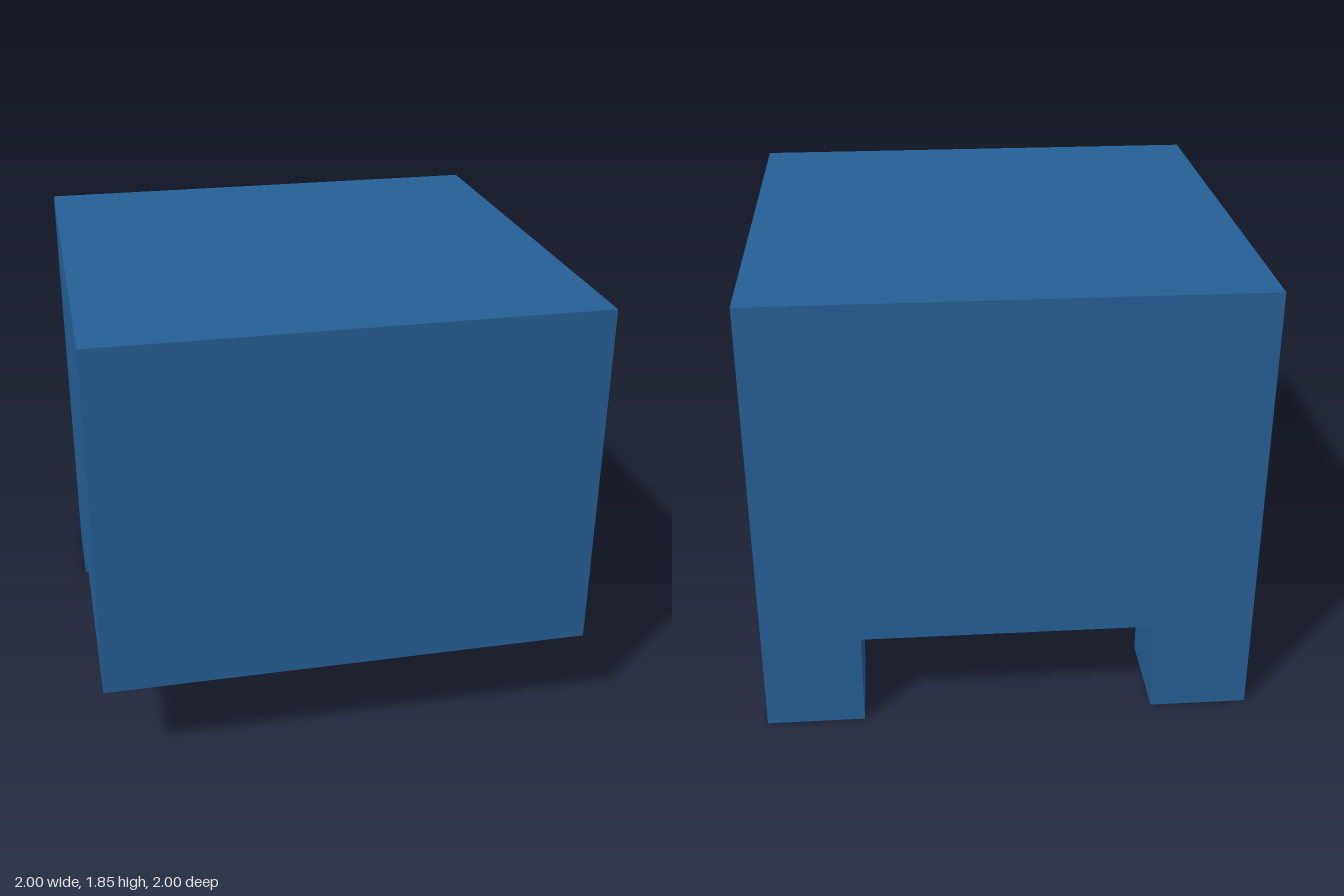
import * as THREE from 'three';

export function createModel() {
  const model = new THREE.Group();
  model.name = 'blockWithLegs';
  const blue = new THREE.MeshStandardMaterial({ color: 0x246097 });
  blue.name = 'blue';

  const addBox = (name, size, position) => {
    const mesh = new THREE.Mesh(new THREE.BoxGeometry(...size), blue);
    mesh.name = name;
    mesh.position.set(...position);
    model.add(mesh);
  };

  // Main block, overhanging at the front
  addBox('body', [2, 1.45, 2], [0, 1.125, 0]);

  // Two short legs flush with the back corners
  for (const side of [-1, 1]) {
    addBox(side > 0 ? 'leftBackLeg' : 'rightBackLeg', [0.4, 0.4, 0.4], [side * 0.8, 0.2, -0.8]);
  }

  return model;
}
